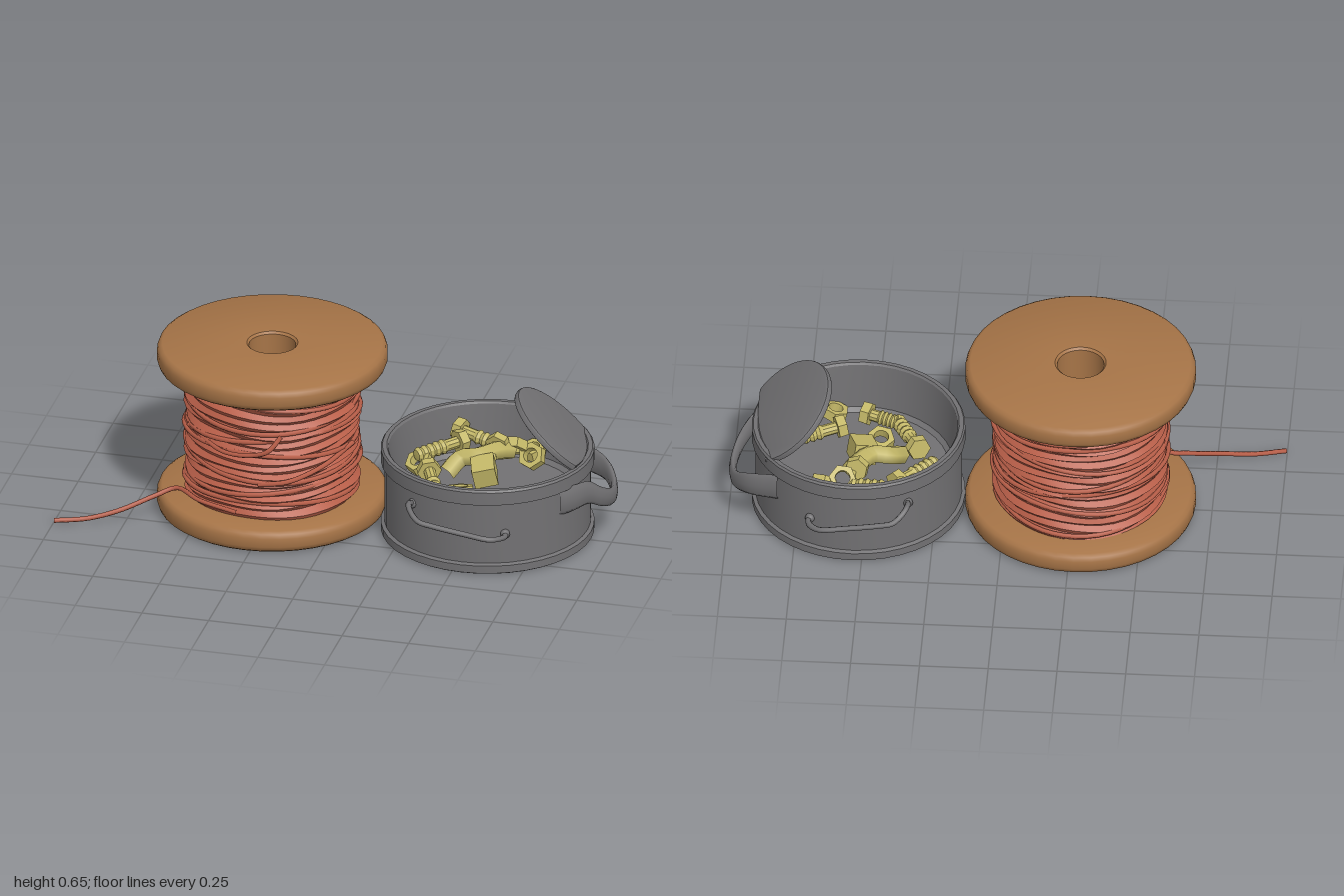
import * as THREE from 'three';
import { toCreasedNormals } from 'three/addons/utils/BufferGeometryUtils.js';

const mat = (name, color) => {
  const m = new THREE.MeshStandardMaterial({ color });
  m.name = name;
  return m;
};
const V = (x, y, z) => new THREE.Vector3(x, y, z);

export function createModel() {
  const wood = mat('wood', 0xa67447);
  const copper = mat('copperWire', 0xb95f49);
  const steel = mat('greySteel', 0x727173);
  const brass = mat('brass', 0xc4b868);
  steel.side = THREE.DoubleSide;

  const model = new THREE.Group();
  model.name = 'spoolAndPot';
  const add = (parent, name, geometry, material) => {
    const mesh = new THREE.Mesh(geometry, material);
    mesh.name = name;
    parent.add(mesh);
    return mesh;
  };
  const group = (name, x = 0, y = 0, z = 0, parent = model) => {
    const g = new THREE.Group();
    g.name = name;
    g.position.set(x, y, z);
    parent.add(g);
    return g;
  };
  const lathe = (pts, n, crease = 0.5) =>
    toCreasedNormals(new THREE.LatheGeometry(pts.map(p => new THREE.Vector2(...p)), n), crease);
  const tube = (pts, r, n = 24, closed = false) =>
    new THREE.TubeGeometry(new THREE.CatmullRomCurve3(pts, closed), n, r, 6, closed);

  // Wooden spool: two rounded flanges, a core and a through hole
  const spool = group('spool', -0.272, 0, 0);
  const edge = y => [[0.4, y], [0.413, y + 0.009], [0.419, y + 0.025], [0.419, y + 0.057], [0.413, y + 0.073], [0.4, y + 0.082]];
  add(spool, 'spoolBody', lathe([
    [0.085, 0.008], [0.093, 0], ...edge(0), [0.25, 0.082], [0.25, 0.568], ...edge(0.568),
    [0.093, 0.65], [0.085, 0.642], [0.085, 0.008]], 40, 0.7), wood);

  // Ridged wire winding, made uneven around the turn
  const rows = 30;
  const profile = [];
  for (let i = 0; i <= rows; i++) profile.push(new THREE.Vector2(i % 2 ? 0.318 : 0.303, 0.075 + (0.5 * i) / rows));
  const winding = new THREE.LatheGeometry(profile, 40);
  const p = winding.attributes.position;
  for (let i = 0; i < p.count; i++) {
    const a = Math.atan2(p.getZ(i), p.getX(i));
    const y = p.getY(i);
    const fade = Math.min(1, (y - 0.075) / 0.04, (0.575 - y) / 0.04);
    const s = 1 + 0.014 * Math.sin(3 * a + y * 70) + 0.008 * Math.sin(5 * a - y * 43);
    p.setXYZ(i, p.getX(i) * s, y + fade * (0.014 * Math.sin(a + y * 9) + 0.006 * Math.sin(4 * a)), p.getZ(i) * s);
  }
  add(spool, 'wireWinding', toCreasedNormals(winding, 0.8), copper);

  // Slanted loose turns lying over the winding
  for (let i = 0; i < 7; i++) {
    const pts = [];
    for (let k = 0; k < 20; k++) {
      const a = (k / 20) * Math.PI * 2;
      const r = 0.314 + 0.007 * Math.sin(3 * a + i * 2);
      pts.push(V(r * Math.cos(a), 0.125 + i * 0.066 + 0.024 * Math.sin(a + i * 1.9), r * Math.sin(a)));
    }
    add(spool, 'looseTurn', tube(pts, 0.009, 48, true), copper);
  }
  // Sprung strands on the front of the winding, and the tail on the ground
  add(spool, 'sprungStrand', tube([V(-0.27, 0.37, 0.17), V(-0.1, 0.345, 0.315), V(0.02, 0.36, 0.35),
    V(0.08, 0.39, 0.362), V(0.12, 0.44, 0.335)], 0.009), copper);
  add(spool, 'sprungStrand', tube([V(0.03, 0.23, 0.32), V(0.14, 0.25, 0.31), V(0.25, 0.29, 0.23),
    V(0.32, 0.32, 0.07)], 0.009), copper);
  add(spool, 'wireTail', tube([V(-0.05, 0.11, 0.325), V(-0.2, 0.12, 0.28), V(-0.31, 0.115, 0.19),
    V(-0.38, 0.09, 0.22), V(-0.5, 0.045, 0.285), V(-0.61, 0.018, 0.325), V(-0.725, 0.012, 0.36)], 0.009, 36), copper);

  // Steel pot with rim band, foot band and inner floor
  const pot = group('pot', 0.535, 0, 0);
  add(pot, 'potBody', lathe([
    [0, 0], [0.38, 0], [0.388, 0.005], [0.388, 0.034], [0.375, 0.04], [0.375, 0.272], [0.388, 0.278],
    [0.388, 0.328], [0.382, 0.336], [0.366, 0.336], [0.36, 0.328], [0.354, 0.27], [0.345, 0.15],
    [0.33, 0.135], [0, 0.13]], 40), steel);

  // Sagging wire handles on both sides
  for (const s of [1, -1]) {
    const h = group('sideHandle', 0, 0, 0, pot);
    add(h, 'handleWire', tube([V(-0.2, 0.225, s * 0.315), V(-0.2, 0.246, s * 0.37), V(-0.187, 0.235, s * 0.4),
      V(-0.15, 0.208, s * 0.427), V(-0.1, 0.198, s * 0.431), V(0.02, 0.18, s * 0.431), V(0.115, 0.167, s * 0.427),
      V(0.148, 0.162, s * 0.4), V(0.16, 0.158, s * 0.37), V(0.155, 0.155, s * 0.33)], 0.011, 40), steel);
    for (const [x, y] of [[-0.2, 0.225], [0.155, 0.157]]) {
      const lug = add(h, 'handleLug', new THREE.SphereGeometry(0.018, 10, 8), steel);
      lug.position.set(x, y, s * Math.sqrt(0.377 ** 2 - x * x));
    }
  }

  // Broad drooping strap handle, flared at its front end
  const strap = new THREE.CatmullRomCurve3([V(0.315, 0.23, 0.19), V(0.365, 0.235, 0.14), V(0.4, 0.233, 0.085),
    V(0.435, 0.195, 0.03), V(0.453, 0.163, -0.05), V(0.44, 0.163, -0.13), V(0.39, 0.195, -0.2), V(0.275, 0.22, -0.25)]);
  const n = 28, pos = [], idx = [];
  for (let i = 0; i <= n; i++) {
    const t = i / n, c = strap.getPointAt(t), d = strap.getTangentAt(t);
    const side = V(-d.z, 0, d.x).normalize();
    const half = 0.044 + 0.009 * Math.cos(2 * Math.PI * t);
    for (let k = 0; k < 8; k++) {
      const a = (k / 8) * Math.PI * 2;
      const q = c.clone().addScaledVector(side, 0.014 * Math.cos(a));
      pos.push(q.x, q.y + half * Math.sin(a), q.z);
      const A = i * 8 + k, B = i * 8 + ((k + 1) % 8);
      if (i < n) idx.push(A, A + 8, B, B, A + 8, B + 8);
    }
  }
  const strapGeo = new THREE.BufferGeometry();
  strapGeo.setAttribute('position', new THREE.Float32BufferAttribute(pos, 3));
  strapGeo.setIndex(idx);
  strapGeo.computeVertexNormals();
  add(pot, 'strapHandle', strapGeo, steel);

  // Small lid leaning out of the pot, cut off along the rim side
  const outline = [];
  for (let i = 0; i < 48; i++) {
    const a = (i / 48) * Math.PI * 2;
    const v = 0.207 * Math.sin(a);
    outline.push(new THREE.Vector2(Math.min(0.207 * Math.cos(a), 0.118 - 0.6 * v * v), v));
  }
  const lidGeo = new THREE.ExtrudeGeometry(new THREE.Shape(outline),
    { depth: 0.01, bevelThickness: 0.008, bevelSize: 0.008, bevelSegments: 2 });
  lidGeo.translate(0, 0, -0.005);
  const normal = V(0.65, 0.74, -0.17).normalize();
  const down = V(0.74, -0.66, 0).projectOnPlane(normal).normalize();
  const lid = add(pot, 'lid', toCreasedNormals(lidGeo, 0.6), steel);
  lid.position.set(0.262, 0.4, -0.035);
  lid.quaternion.setFromRotationMatrix(new THREE.Matrix4().makeBasis(down, normal.clone().cross(down), normal));

  // Brass hardware, placed in model coordinates
  const up = V(0, 1, 0);
  const hardware = group('hardware');
  const bolt = (from, to) => {
    const a = V(...from), dir = V(...to).sub(a), len = dir.length();
    const g = group('bolt', ...from, hardware);
    g.quaternion.setFromUnitVectors(up, dir.normalize());
    add(g, 'boltHead', toCreasedNormals(new THREE.CylinderGeometry(0.045, 0.043, 0.034, 6), 0.5), brass);
    const pts = [[0.02, 0]];
    const m = 14;
    for (let i = 0; i <= m; i++) pts.push([i > 4 && i % 2 ? 0.029 : 0.022, 0.016 + ((len - 0.016) * i) / m]);
    pts.push([0, len + 0.003]);
    add(g, 'boltShank', lathe(pts, 10), brass);
  };
  const hex = new THREE.Shape();
  for (let i = 0; i < 6; i++) {
    const a = (i * Math.PI) / 3;
    hex[i ? 'lineTo' : 'moveTo'](0.05 * Math.cos(a), 0.05 * Math.sin(a));
  }
  hex.closePath();
  hex.holes.push(new THREE.Path().absarc(0, 0, 0.027, 0, Math.PI * 2, true));
  const nutGeo = new THREE.ExtrudeGeometry(hex, { depth: 0.036, bevelEnabled: false, curveSegments: 8 });
  nutGeo.translate(0, 0, -0.018);
  const nut = (x, y, z, tilt, turn) => {
    const m = add(hardware, 'nut', nutGeo, brass);
    m.position.set(x, y, z);
    m.rotation.set(Math.PI / 2 + tilt, turn * 0.5, turn);
  };

  bolt([0.36, 0.25, -0.27], [0.55, 0.22, -0.22]);
  bolt([0.38, 0.235, -0.21], [0.25, 0.225, -0.07]);
  bolt([0.52, 0.2, 0.24], [0.4, 0.19, 0.2]);
  bolt([0.32, 0.22, 0.02], [0.41, 0.19, 0.22]);
  bolt([0.61, 0.19, 0.17], [0.8, 0.165, 0.1]);
  bolt([0.53, 0.26, -0.17], [0.5, 0.22, 0.02]);
  nut(0.63, 0.19, -0.29, 0.2, 0.3);
  nut(0.64, 0.165, 0.29, 0.1, 0.5);
  nut(0.46, 0.19, 0.1, -0.3, 0.2);
  nut(0.26, 0.2, -0.07, 0.5, 0.6);
  nut(0.65, 0.21, -0.2, 0.9, 0.4);
  nut(0.58, 0.24, -0.21, -0.8, 0.1);
  // Chunky bracket lying across the pile
  add(hardware, 'bracketArm', tube([V(0.38, 0.2, 0), V(0.42, 0.24, -0.06), V(0.48, 0.25, -0.07),
    V(0.53, 0.25, -0.13), V(0.57, 0.23, -0.19)], 0.036, 12), brass);
  const block = add(hardware, 'bracketBlock', new THREE.BoxGeometry(0.085, 0.075, 0.1), brass);
  block.position.set(0.52, 0.225, -0.01);
  block.rotation.set(0.2, 0.3, 0.15);

  return model;
}
